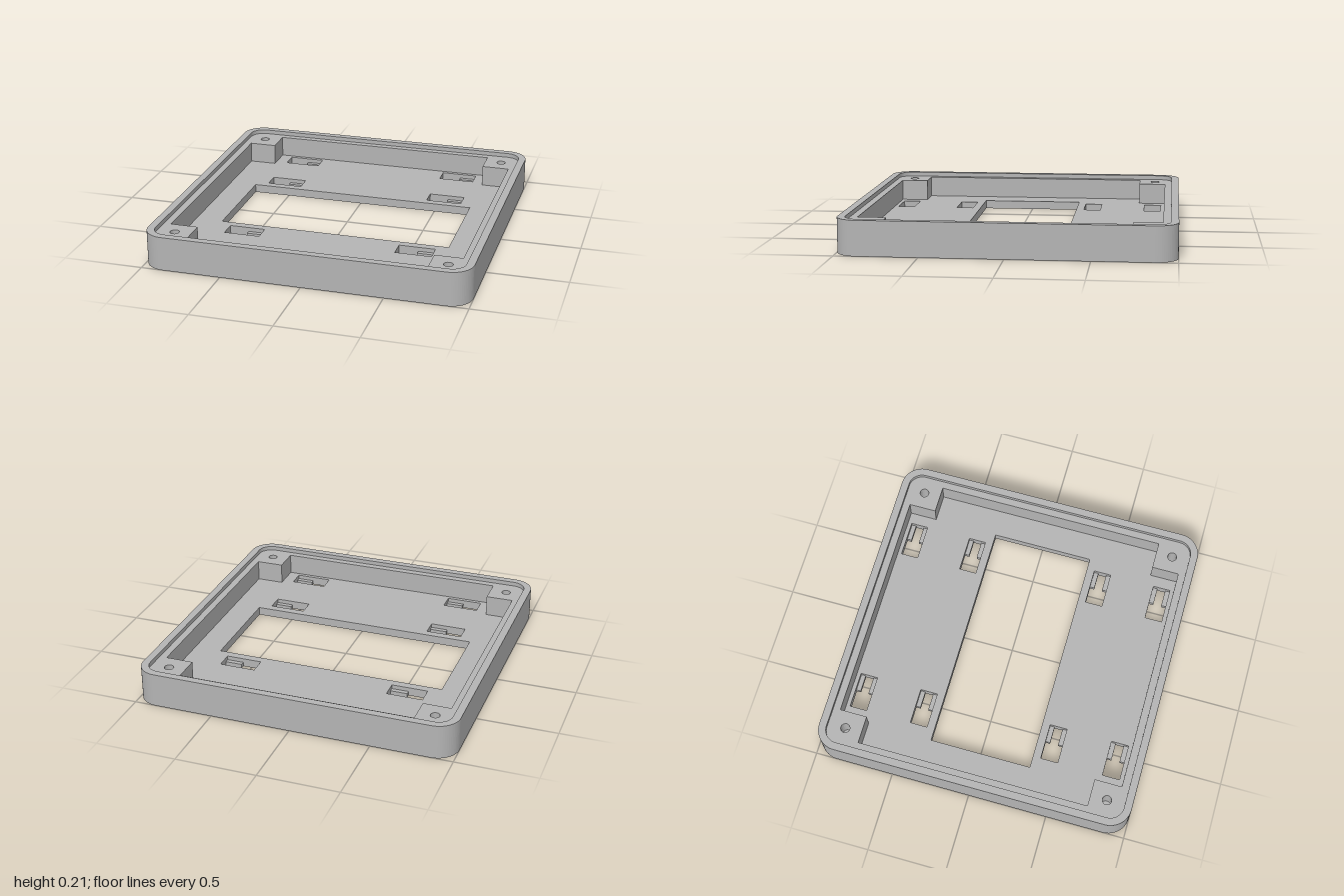
import * as THREE from 'three';

const HEIGHT = 0.213, FLOOR = 0.053, SLOT_STEP = 0.027, LEDGE = 0.186;
const POST = 0.735, CAVITY = 0.908;

const grey = new THREE.MeshStandardMaterial({ color: 0xb4b4b4 });
grey.name = 'plain grey';

// Closed outline from corner points
const outline = (points, Kind = THREE.Path) => new Kind(points.map(([x, y]) => new THREE.Vector2(x, y)));

const rectangle = (x0, x1, y0, y1) => outline([[x0, y0], [x1, y0], [x1, y1], [x0, y1]]);

// Square outline with rounded corners
function roundedSquare(half, radius, Kind = THREE.Path) {
  const path = new Kind(), c = half - radius;
  [[1, 1], [-1, 1], [-1, -1], [1, -1]].forEach(([sx, sy], i) => {
    path.absarc(sx * c, sy * c, radius, i * Math.PI / 2, (i + 1) * Math.PI / 2, false);
  });
  path.closePath();
  return path;
}

// One horizontal slice of the tray, with holes cut through it
function layer(name, bottom, top, holes) {
  const shape = roundedSquare(1, 0.135, THREE.Shape);
  shape.holes.push(...holes);
  const geometry = new THREE.ExtrudeGeometry(shape, { depth: top - bottom, bevelEnabled: false, curveSegments: 8 });
  geometry.rotateX(-Math.PI / 2).translate(0, bottom, 0);
  const mesh = new THREE.Mesh(geometry, grey);
  mesh.name = name;
  return mesh;
}

export function createModel() {
  const group = new THREE.Group();
  group.name = 'mountingTray';

  // Keyhole slots: narrow neck below, full rectangle above
  const keyholes = [], recesses = [];
  for (const x of [-0.66, 0.436]) {
    for (const y of [-0.828, -0.428, 0.428, 0.828]) {
      const neck = x + 0.121, end = x + 0.228, wide = 0.055, slim = 0.026;
      keyholes.push(outline([
        [x, y - wide], [neck, y - wide], [neck, y - slim], [end, y - slim],
        [end, y + slim], [neck, y + slim], [neck, y + wide], [x, y + wide],
      ]));
      recesses.push(rectangle(x, end, y - wide, y + wide));
    }
  }
  const windowHole = () => rectangle(-0.735, 0.735, -0.323, 0.323);

  // Floor plate in two steps
  group.add(layer('floorLower', 0, SLOT_STEP, [windowHole(), ...keyholes]));
  group.add(layer('floorUpper', SLOT_STEP, FLOOR, [windowHole(), ...recesses]));

  // Walls with square corner posts and blind screw holes
  const P = POST, C = CAVITY;
  const cavity = outline([
    [C, -P], [C, P], [P, P], [P, C], [-P, C], [-P, P],
    [-C, P], [-C, -P], [-P, -P], [-P, -C], [P, -C], [P, -P],
  ]);
  const screwHoles = [];
  for (const sx of [-1, 1]) for (const sy of [-1, 1]) {
    screwHoles.push(new THREE.Path().absarc(sx * 0.841, sy * 0.841, 0.029, 0, Math.PI * 2, false));
  }
  group.add(layer('wallsAndPosts', FLOOR, LEDGE, [cavity, ...screwHoles]));

  // Thin raised rim around the ledge
  group.add(layer('rim', LEDGE, HEIGHT, [roundedSquare(0.953, 0.088)]));

  return group;
}
